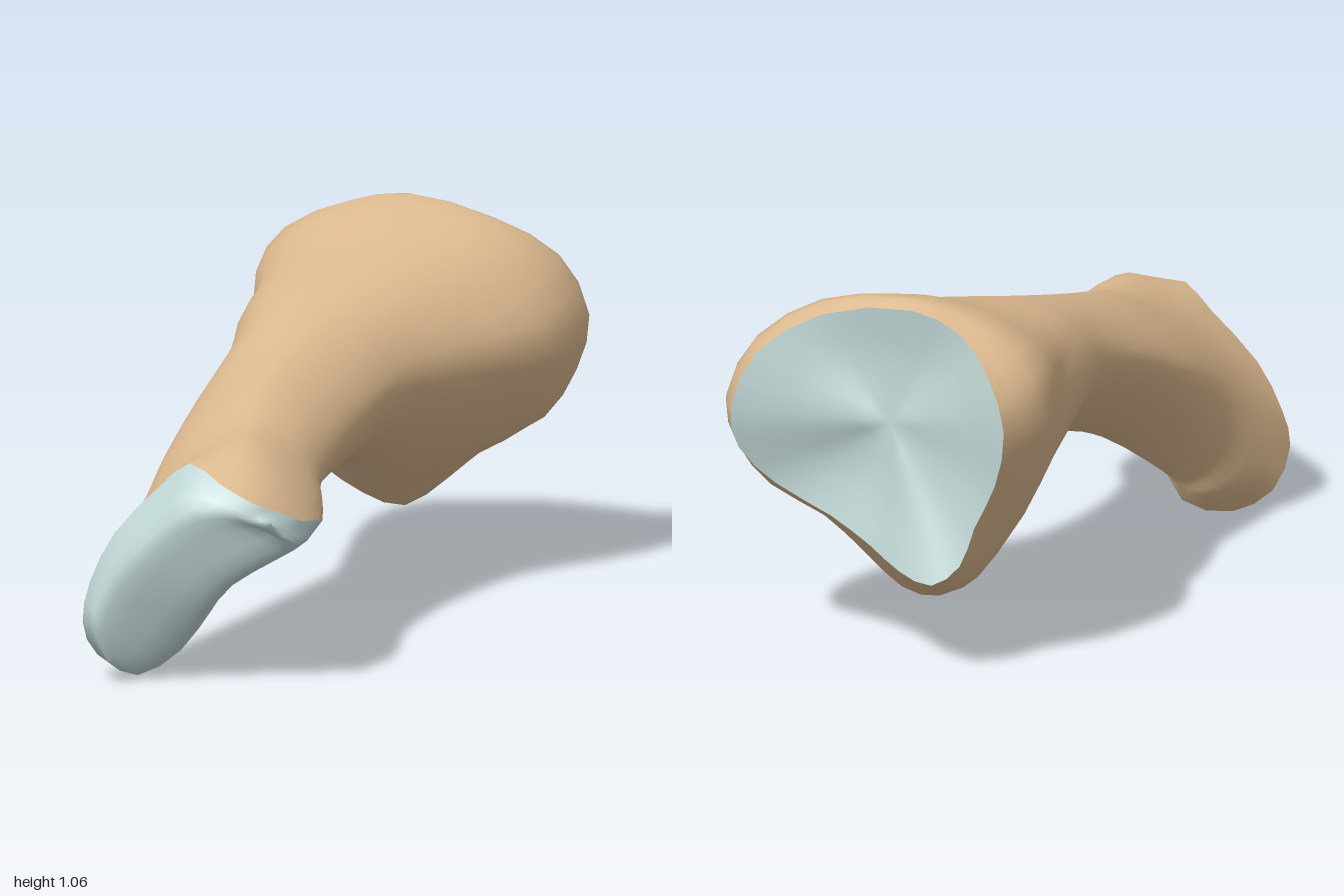
import * as THREE from 'three';
import { mergeVertices } from 'three/addons/utils/BufferGeometryUtils.js';

const AROUND = 32, STEPS = 3;

// Smooth closed cross-section, anticlockwise seen from the front, starting at +x.
function ring(points, z) {
  const vecs = points.map((p) => new THREE.Vector3(p[0], p[1], p.length > 2 ? p[2] : z));
  const curve = new THREE.CatmullRomCurve3(vecs, true);
  return Array.from({ length: AROUND }, (_, i) => curve.getPoint(i / AROUND));
}

// Smooth skin through a row of cross-sections.
function loft(name, rings, color) {
  const rows = (rings.length - 1) * STEPS, pos = [], index = [];
  const columns = rings[0].map((_, i) => new THREE.CatmullRomCurve3(rings.map((r) => r[i])));
  for (let j = 0; j <= rows; j++) {
    for (const c of columns) pos.push(...c.getPoint(j / rows).toArray());
  }
  for (let j = 0; j < rows; j++) {
    for (let i = 0; i < AROUND; i++) {
      const n = (i + 1) % AROUND;
      const a = j * AROUND + i, b = j * AROUND + n;
      index.push(a, b, b + AROUND, a, b + AROUND, a + AROUND);
    }
  }
  let geo = new THREE.BufferGeometry();
  geo.setAttribute('position', new THREE.Float32BufferAttribute(pos, 3));
  geo.setIndex(index);
  geo = mergeVertices(geo, 1e-4);
  geo.computeVertexNormals();
  const mesh = new THREE.Mesh(geo, new THREE.MeshStandardMaterial({ color }));
  mesh.name = name;
  return mesh;
}

export function createModel() {
  const group = new THREE.Group();
  group.name = 'footBone';
  const boneColor = 0xdcb98f, cartilageColor = 0xbfd6d4;

  // Rim of the hollow joint at the back
  const baseRim = ring([
    [0.67, 0.72, -0.78], [0.6, 0.88, -0.76], [0.42, 0.99, -0.73], [0.15, 1.04, -0.82],
    [0.01, 0.99, -0.87], [-0.08, 0.89, -0.95], [-0.13, 0.75, -1.0], [-0.1, 0.58, -0.97],
    [-0.04, 0.45, -0.95], [0, 0.34, -0.96], [0.08, 0.28, -0.96], [0.18, 0.3, -0.9],
    [0.27, 0.345, -0.82], [0.39, 0.41, -0.76], [0.55, 0.49, -0.73], [0.65, 0.6, -0.76],
  ]);
  // Widest section of the flared base
  const flare = ring([
    [0.695, 0.73, -0.68], [0.61, 0.9, -0.66], [0.43, 1.01, -0.65], [0.2, 1.06, -0.74],
    [0.03, 1.04, -0.76], [-0.16, 0.95, -0.81], [-0.24, 0.82, -0.82], [-0.21, 0.62, -0.82],
    [-0.14, 0.43, -0.81], [-0.03, 0.26, -0.8], [0.06, 0.2, -0.77], [0.18, 0.185, -0.67],
    [0.3, 0.27, -0.64], [0.42, 0.37, -0.63], [0.57, 0.45, -0.62], [0.66, 0.58, -0.65],
  ]);
  // Rim of the rounded joint at the front
  const headRim = ring([
    [-0.03, 0.45, 0.74], [-0.08, 0.48, 0.89], [-0.15, 0.52, 0.95], [-0.22, 0.55, 0.98],
    [-0.31, 0.59, 0.92], [-0.4, 0.63, 0.82], [-0.48, 0.56, 0.78], [-0.61, 0.42, 0.77],
    [-0.68, 0.28, 0.77], [-0.7, 0.17, 0.79], [-0.66, 0.06, 0.72], [-0.55, 0, 0.7],
    [-0.42, 0.06, 0.6], [-0.34, 0.18, 0.68], [-0.28, 0.28, 0.75], [-0.15, 0.37, 0.75],
  ]);

  // Shaft sections, from the flare to the neck behind the head
  const shaft = [
    ring([[0.57, 0.7], [0.39, 0.9], [0.1, 0.965], [-0.19, 0.89], [-0.28, 0.72], [-0.14, 0.45],
      [0.12, 0.29, -0.49], [0.39, 0.43]], -0.45),
    ring([[0.23, 0.68], [0.14, 0.82], [-0.03, 0.88], [-0.22, 0.84], [-0.31, 0.7], [-0.2, 0.53], [0, 0.44], [0.16, 0.52]], -0.15),
    ring([[0.09, 0.62], [0.02, 0.74], [-0.13, 0.81], [-0.3, 0.75], [-0.4, 0.62], [-0.32, 0.49], [-0.15, 0.41], [0.02, 0.48]], 0.1),
    ring([[0, 0.56], [-0.07, 0.68], [-0.22, 0.745], [-0.39, 0.65], [-0.49, 0.51], [-0.44, 0.37], [-0.28, 0.3], [-0.08, 0.43]], 0.35),
    ring([[-0.04, 0.5], [-0.09, 0.62], [-0.24, 0.69], [-0.43, 0.59], [-0.55, 0.42], [-0.54, 0.22], [-0.43, 0.13], [-0.18, 0.36]], 0.55),
    ring([[-0.03, 0.47, 0.66], [-0.1, 0.57, 0.76], [-0.25, 0.67, 0.76], [-0.45, 0.57, 0.68],
      [-0.61, 0.35, 0.68], [-0.6, 0.13, 0.63], [-0.44, 0.09, 0.57], [-0.26, 0.32, 0.66]]),
  ];
  group.add(loft('boneShaft', [baseRim, flare, ...shaft, headRim], boneColor));

  // Hollow cartilage dish at the base
  const centre = new THREE.Vector3(0.22, 0.7, -0.79);
  const dish = baseRim.map((p) => p.clone().lerp(centre, 0.45).add(new THREE.Vector3(0, 0, 0.015)));
  group.add(loft('baseCartilage', [baseRim.map(() => centre), dish, baseRim], cartilageColor));

  // Bulging cartilage on the head, closing along a middle ridge
  const bulge = ring([
    [-0.1, 0.42, 0.93], [-0.13, 0.45, 0.96], [-0.17, 0.5, 0.985], [-0.24, 0.51, 0.985],
    [-0.31, 0.52, 0.965], [-0.4, 0.52, 0.94], [-0.48, 0.46, 0.91], [-0.58, 0.36, 0.88],
    [-0.65, 0.25, 0.86], [-0.67, 0.17, 0.86], [-0.63, 0.06, 0.81], [-0.55, 0.015, 0.77],
    [-0.44, 0.09, 0.78], [-0.37, 0.2, 0.84], [-0.29, 0.3, 0.89], [-0.18, 0.37, 0.92],
  ]);
  const ridge = bulge.map((p, i) => {
    const q = bulge[(8 - i + AROUND) % AROUND];
    return p.clone().add(q).multiplyScalar(0.5).add(new THREE.Vector3(0, 0, 0.015));
  });
  group.add(loft('headCartilage', [headRim, bulge, ridge], cartilageColor));

  return group;
}
